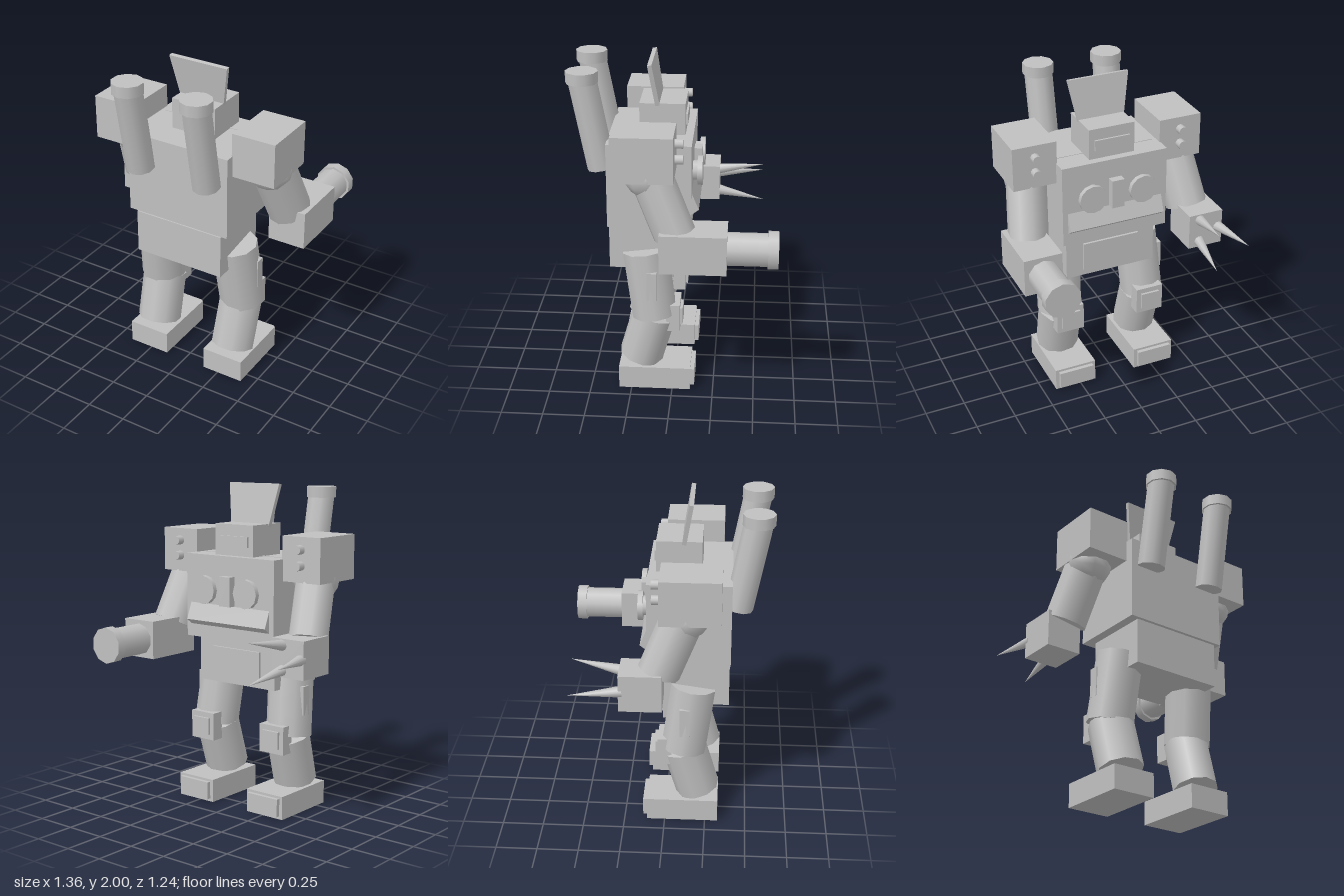
import * as THREE from 'three';

export function createModel() {
  const model = new THREE.Group();
  const grey = new THREE.MeshStandardMaterial({ color: 0xc0c0c0 });
  grey.name = 'plainGrey';
  const CX = 0.008; // centre line of the body

  const add = (name, geometry) => {
    const mesh = new THREE.Mesh(geometry, grey);
    mesh.name = name;
    model.add(mesh);
    return mesh;
  };

  // Box given by its limits on each axis
  const box = (name, x0, x1, y0, y1, z0, z1) => {
    const mesh = add(name, new THREE.BoxGeometry(x1 - x0, y1 - y0, z1 - z0));
    mesh.position.set((x0 + x1) / 2, (y0 + y1) / 2, (z0 + z1) / 2);
    return mesh;
  };

  // Cylinder or cone running from point a to point b
  const rod = (name, a, b, ra, rb = ra, sides = 10) => {
    const from = new THREE.Vector3(...a);
    const to = new THREE.Vector3(...b);
    const dir = to.clone().sub(from);
    const mesh = add(name, new THREE.CylinderGeometry(rb, ra, dir.length(), sides));
    mesh.position.copy(from).add(to).multiplyScalar(0.5);
    mesh.quaternion.setFromUnitVectors(new THREE.Vector3(0, 1, 0), dir.normalize());
    return mesh;
  };

  // Profile of [x, y] points with depth along z, centred
  const extrude = (name, points, depth) => {
    const shape = new THREE.Shape(points.map((p) => new THREE.Vector2(...p)));
    const geometry = new THREE.ExtrudeGeometry(shape, { depth, bevelEnabled: false });
    geometry.translate(0, 0, -depth / 2);
    return add(name, geometry);
  };

  // Torso and hips
  box('torso', -0.33, 0.346, 1.055, 1.57, -0.11, 0.387);
  box('collarSeam', -0.3, 0.317, 1.565, 1.573, 0.031, 0.039);
  box('hips', -0.285, 0.3, 0.77, 1.045, -0.037, 0.382);
  box('hipPlate', -0.175, 0.19, 0.81, 0.995, -0.052, -0.03);

  // Chest details
  box('chestBar', CX - 0.04, CX + 0.04, 1.27, 1.45, -0.158, -0.1);
  const ledge = extrude('chestLedge', [[0.09, 1.28], [0.105, 1.28], [0.152, 1.165], [0.1, 1.125], [0.09, 1.125]], 0.61);
  ledge.rotation.y = Math.PI / 2;
  ledge.position.x = CX;

  // Head, visor and crest
  box('head', -0.136, 0.154, 1.56, 1.76, -0.063, 0.207);
  box('visor', -0.102, 0.12, 1.625, 1.69, -0.075, -0.05);
  const crest = extrude('crest', [[-0.145, -0.02], [0.145, -0.02], [0.192, 0.242], [-0.192, 0.242]], 0.026);
  crest.position.set(CX, 1.76, 0.103);
  crest.rotation.x = 0.165;

  for (const s of [-1, 1]) {
    const side = s > 0 ? 'left' : 'right';
    const X = (d) => CX + s * d; // distance outward from the centre line
    const pair = (name, d0, d1, ...rest) =>
      box(side + name, Math.min(X(d0), X(d1)), Math.max(X(d0), X(d1)), ...rest);

    // Chest lamps
    rod(side + 'LampStem', [X(0.162), 1.36, -0.1], [X(0.162), 1.36, -0.145], 0.06);
    rod(side + 'Lamp', [X(0.162), 1.36, -0.138], [X(0.162), 1.36, -0.168], 0.088, 0.088, 12);

    // Back stacks with caps
    rod(side + 'Stack', [X(0.224), 1.39, 0.425], [X(0.224), 1.93, 0.527], 0.085);
    rod(side + 'StackCap', [X(0.224), 1.905, 0.527], [X(0.224), 1.972, 0.527], 0.095);

    // Shoulder block with studs
    pair('Shoulder', 0.332, 0.605, 1.44, 1.71, -0.022, 0.33);
    for (const y of [1.635, 1.54]) {
      rod(side + 'ShoulderStud', [X(0.468), y, 0], [X(0.468), y, -0.07], 0.028);
    }

    // Upper arm
    const ball = add(side + 'ShoulderBall', new THREE.SphereGeometry(0.138, 10, 8));
    ball.position.set(X(0.472), 1.45, 0.13);
    const arm = rod(side + 'UpperArm', [X(0.475), 1.46, 0.12], [X(0.527), 1.11, -0.025], 0.12);
    arm.scale.z = 1.1;

    // Leg
    rod(side + 'Thigh', [X(0.264), 0.888, 0.17], [X(0.29), 0.468, 0.112], 0.14);
    pair('ThighPlate', 0.3, 0.416, 0.61, 0.79, 0.09, 0.15);
    rod(side + 'Shin', [X(0.283), 0.47, 0.113], [X(0.275), 0.167, 0.2], 0.136);
    pair('Knee', 0.185, 0.365, 0.38, 0.555, -0.044, 0.04);
    pair('KneePlate', 0.215, 0.335, 0.415, 0.522, -0.06, -0.03);
    pair('Foot', 0.138, 0.41, 0, 0.145, -0.11, 0.327);
    pair('ToePlate', 0.16, 0.388, 0.02, 0.13, -0.135, -0.1);
  }

  // Left forearm with cannon
  box('leftForearm', 0.44, 0.677, 0.92, 1.155, -0.328, 0.057);
  rod('cannonBarrel', [0.556, 1.035, -0.32], [0.556, 1.035, -0.57], 0.098);
  rod('cannonMuzzle', [0.556, 1.035, -0.56], [0.556, 1.035, -0.62], 0.112);

  // Right fist with three claws splayed round its centre
  box('rightForearm', -0.651, -0.427, 0.92, 1.147, -0.25, 0);
  for (const angle of [Math.PI, Math.PI / 3, -Math.PI / 3]) {
    const ring = (r, z) => [-0.54 + r * Math.cos(angle), 1.035 + r * Math.sin(angle), z];
    rod('claw', ring(0.083, -0.235), ring(0.142, -0.535), 0.034, 0);
  }

  return model;
}
